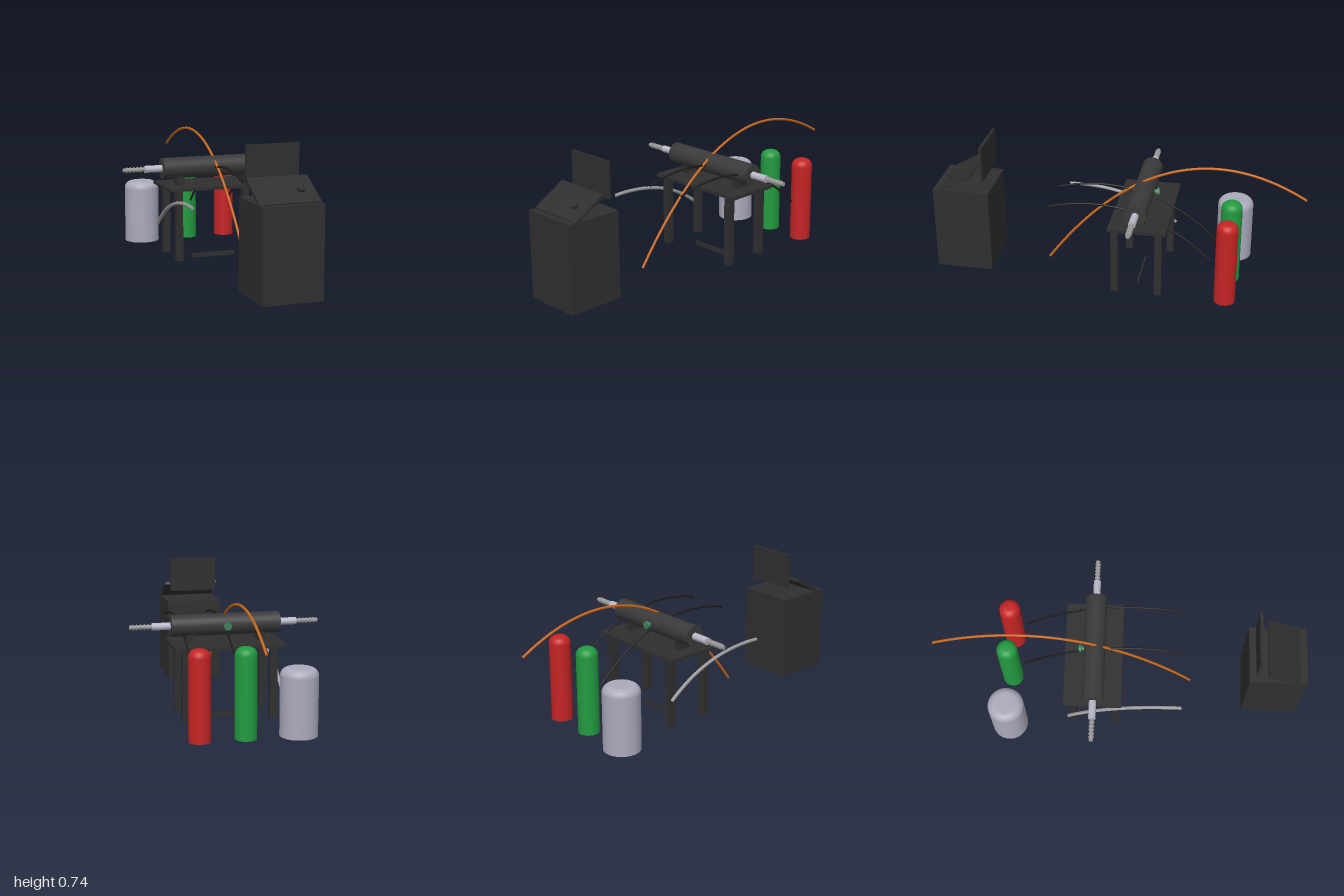
import * as THREE from 'three';

const mat = (color) => new THREE.MeshStandardMaterial({ color });

export function createModel() {
  const root = new THREE.Group();
  const dark = mat(0x2f2f2f), darkTube = mat(0x3a3a3a), black = mat(0x1c1c1c);
  const steel = mat(0xb8b8c8), grey = mat(0x9a9a9a), paleGrey = mat(0xaaaabc);
  const red = mat(0xc42424), green = mat(0x229a40), valveGreen = mat(0x3f8058), orange = mat(0xc8661a);
  const FLOOR = 0.017;

  const add = (name, geometry, material, x = 0, y = 0, z = 0, parent = root) => {
    const mesh = new THREE.Mesh(geometry, material);
    mesh.name = name;
    mesh.position.set(x, y, z);
    parent.add(mesh);
    return mesh;
  };
  const group = (name) => {
    const g = new THREE.Group();
    g.name = name;
    root.add(g);
    return g;
  };
  const box = (w, h, d) => new THREE.BoxGeometry(w, h, d);
  const rodX = (r, length) => new THREE.CylinderGeometry(r, r, length, 32).rotateZ(Math.PI / 2);
  const rodZ = (r, length) => new THREE.CylinderGeometry(r, r, length, 24).rotateX(Math.PI / 2);

  // Control console: cabinet, sloping panel, knob and screen
  const consoleUnit = group('controlConsole');
  add('consoleCabinet', box(0.314, 0.47, 0.31), dark, 0, FLOOR + 0.235, 0.845, consoleUnit);
  const panel = add('slopingPanel', box(0.314, 0.017, 0.204), dark, 0, 0.535, 0.87, consoleUnit);
  panel.rotation.x = Math.PI / 6;
  const knob = add('controlKnob', new THREE.CylinderGeometry(0.02, 0.02, 0.016, 24), dark, 0.078, 0.547, 0.898, consoleUnit);
  knob.rotation.x = Math.PI / 6;
  add('screen', box(0.275, 0.195, 0.016), dark, 0, 0.645, 0.728, consoleUnit);

  // Table with four legs
  const table = group('table');
  add('tableTop', box(0.588, 0.017, 0.31), dark, 0, 0.41, -0.143, table);
  for (const x of [-0.236, 0.236])
    for (const z of [-0.019, -0.254])
      add('tableLeg', box(0.038, 0.385, 0.038), dark, x, FLOOR + 0.1925, z, table);

  // Furnace tube on two supports
  const furnace = group('furnace');
  const axisY = 0.51, axisZ = -0.137;
  add('furnaceTube', rodX(0.057, 0.588), darkTube, 0, axisY, axisZ, furnace);
  for (const s of [-1, 1]) {
    add('tubeSupport', box(0.038, 0.06, 0.072), dark, s * 0.196, 0.446, axisZ, furnace);
    add('innerTube', rodX(0.0195, 0.1), steel, s * 0.342, axisY, axisZ, furnace);
    add('hoseBarb', rodX(0.0115, 0.122), grey, s * 0.45, axisY, axisZ, furnace);
    for (let i = 0; i < 5; i++) {
      const ring = new THREE.TorusGeometry(0.0125, 0.0035, 10, 28).rotateY(Math.PI / 2);
      add('barbRing', ring, grey, s * (0.411 + i * 0.02), axisY, axisZ, furnace);
    }
  }

  // Gas valve at the back of the tube
  const valve = group('gasValve');
  add('valveStem', rodZ(0.012, 0.04), valveGreen, 0, axisY, -0.204, valve);
  add('valveWheel', rodZ(0.021, 0.012), valveGreen, 0, axisY, -0.214, valve);

  // Gas bottles with rounded shoulders
  const bottle = (name, x, radius, top, material) => {
    const fillet = 0.042, points = [new THREE.Vector2(0, FLOOR), new THREE.Vector2(radius, FLOOR), new THREE.Vector2(radius, FLOOR)];
    for (let i = 0; i <= 10; i++) {
      const a = (i / 10) * Math.PI / 2;
      points.push(new THREE.Vector2(radius - fillet + fillet * Math.cos(a), top - fillet + fillet * Math.sin(a)));
    }
    points.push(new THREE.Vector2(0, top));
    add(name, new THREE.LatheGeometry(points, 40), material, x, 0, -0.612);
  };
  bottle('wideGreyBottle', -0.275, 0.098, 0.369, paleGrey);
  bottle('greenBottle', 0, 0.057, 0.487, green);
  bottle('redBottle', 0.235, 0.057, 0.487, red);

  // Arching hoses and cable; each point is [y, z]
  const hose = (name, x, radius, material, ...points) => {
    const [a, b, c] = points.map(([y, z]) => new THREE.Vector3(x, y, z));
    const path = new THREE.QuadraticBezierCurve3(a, b, c);
    add(name, new THREE.TubeGeometry(path, 48, radius, 10), material);
    for (const [t, end] of [[-1, a], [1, c]]) {
      const cap = add('hoseEnd', new THREE.CircleGeometry(radius, 10), material, 0, end.y, end.z);
      cap.position.x = x;
      cap.lookAt(end.clone().addScaledVector(path.getTangent(t < 0 ? 0 : 1), t));
    }
  };
  hose('orangeCable', 0, 0.007, orange, [0.045, 0.395], [0.97, -0.255], [0.53, -1]);
  for (const x of [0, 0.235])
    hose('gasHose', x, 0.0055, black, [0.49, 0.335], [0.63, -0.142], [0.25, -0.53]);
  hose('greyHose', -0.275, 0.0095, grey, [0.372, 0.335], [0.39, -0.03], [0.18, -0.278]);

  // Plain strip on the floor under the table
  add('floorStrip', box(0.25, 0.024, 0.008), dark, 0, 0.012, -0.13);

  return root;
}
